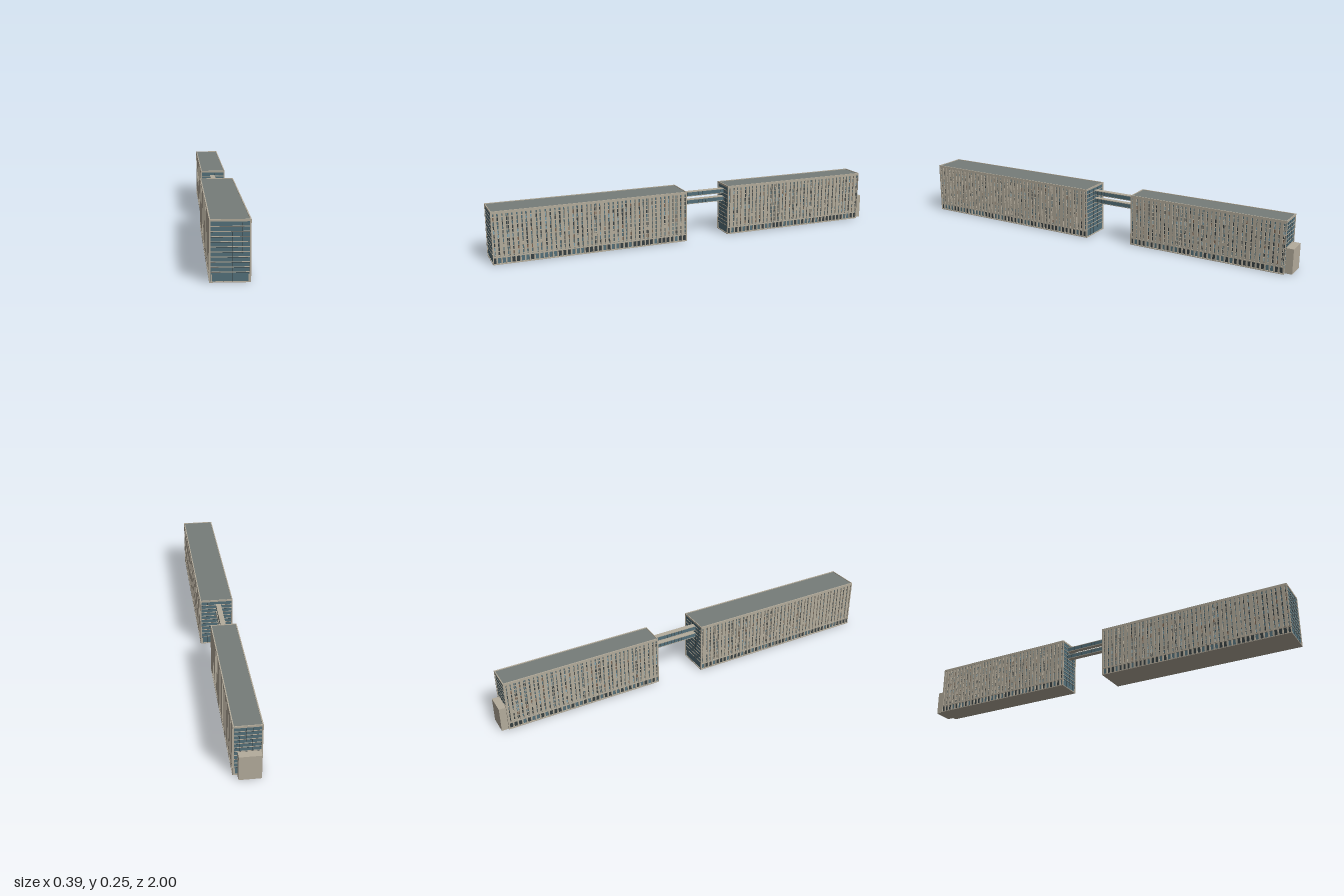
import * as THREE from 'three';
import { mergeGeometries } from 'three/addons/utils/BufferGeometryUtils.js';

const mat = (name, color) => {
  const m = new THREE.MeshStandardMaterial({ color });
  m.name = name;
  return m;
};

// box geometry given by its size and centre
const box = (w, h, d, x, y, z) => new THREE.BoxGeometry(w, h, d).translate(x, y, z);

function part(parent, name, geos, material) {
  const mesh = new THREE.Mesh(geos.length > 1 ? mergeGeometries(geos) : geos[0], material);
  mesh.name = name;
  parent.add(mesh);
  return mesh;
}

// small repeatable number generator
function seeded(seed) {
  let s = seed;
  return () => (s = (s * 16807) % 2147483647) / 2147483647;
}

const H = 0.252;        // building height
const STOREY = 0.0202;  // floor to floor
const FIRST = 0.042;    // top of the ground floor
const BAND = 0.24;      // underside of the top band
const SKIN = 0.006;     // depth of the facade panels

function building(name, W, L, bays, seed, M) {
  const g = new THREE.Group();
  g.name = name;
  const rnd = seeded(seed);
  const pitch = L / bays;

  // glazed core and base plate
  part(g, 'glassCore', [box(W - 2 * SKIN, H - 0.01, L - 0.006, 0, H / 2, 0)], M.glass);
  part(g, 'basePlate', [box(W, 0.004, L, 0, 0.002, 0)], M.stone);

  // floor edges, showing in the window slots and on the glazed ends
  const slabs = [], shadowLines = [];
  for (let i = 0; i < 10; i++) {
    const y = FIRST + i * STOREY;
    slabs.push(box(W - 0.007, 0.003, L - 0.003, 0, y, 0));
    shadowLines.push(box(W - 0.009, 0.0015, L - 0.004, 0, y - 0.002, 0));
  }
  part(g, 'floorEdges', slabs, M.stone);
  part(g, 'floorShadowGaps', shadowLines, M.dark);

  // long facades: stone panels between irregular window slots
  const panels = [], columns = [], panes = { blue: [], dark: [], blind: [] };
  for (const s of [-1, 1]) {
    const x = s * (W / 2 - SKIN / 2);
    const paneX = s * (W / 2 - SKIN + 0.0005);
    let start = -L / 2;
    for (let i = 0; i < bays; i++) {
      const r = rnd();
      const slot = r > 0.85 ? 0.012 : 0.005 + r * 0.004;
      const mid = -L / 2 + (i + 0.5 + (rnd() - 0.5) * 0.25) * pitch;
      const end = mid - slot / 2;
      panels.push(box(SKIN, BAND - 0.034, end - start, x, (BAND + 0.034) / 2, (start + end) / 2));
      start = mid + slot / 2;
      // some slots are closed by a panel low on the facade
      if (i % 4 === 1) panels.push(box(SKIN - 0.001, 0.014, slot, x, 0.09, mid));
      // slender middle post in the wide slots
      if (slot > 0.01) panels.push(box(SKIN - 0.002, BAND - 0.04, 0.002, x, 0.14, mid));
      // varied panes
      for (let f = 0; f < 10; f++) {
        const k = rnd();
        const key = k < 0.12 ? 'blue' : k < 0.42 ? 'dark' : k < 0.5 ? 'blind' : null;
        const y = FIRST + (f + 0.5) * STOREY;
        if (key && y < BAND - 0.008) panes[key].push(box(0.001, STOREY - 0.005, slot, paneX, y, mid));
      }
      // ground floor columns and shopfronts
      const z0 = -L / 2 + i * pitch;
      columns.push(box(SKIN, 0.032, pitch * 0.3, x, 0.018, z0 + pitch * 0.15));
      if (rnd() < 0.6) panes.dark.push(box(0.001, 0.028, pitch * 0.65, paneX, 0.019, z0 + pitch * 0.65));
    }
    panels.push(box(SKIN, BAND - 0.034, L / 2 - start, x, (BAND + 0.034) / 2, (start + L / 2) / 2));
    // continuous lintel above the ground floor
    panels.push(box(SKIN, 0.005, L, x, 0.0345, 0));
    columns.push(box(SKIN, 0.034, 0.004, x, 0.017, L / 2 - 0.002));
  }
  part(g, 'facadePanels', panels, M.stone);
  part(g, 'groundColumns', columns, M.stone);
  part(g, 'bluePanes', panes.blue, M.blue);
  part(g, 'darkPanes', panes.dark, M.dark);
  part(g, 'blindPanes', panes.blind, M.blind);

  // glazed ends: mullions and ground floor piers
  const mullions = [], piers = [];
  for (const s of [-1, 1]) {
    for (const t of [-0.16, 0.06, 0.28]) {
      mullions.push(box(0.001, BAND - 0.004, 0.002, t * W, BAND / 2, s * (L / 2 - 0.0025)));
    }
    for (const t of [-1, 1]) {
      piers.push(box(0.003, 0.03, 0.004, t * (W / 2 - 0.009), 0.018, s * (L / 2 - 0.003)));
    }
  }
  part(g, 'endMullions', mullions, M.dark);
  part(g, 'endPiers', piers, M.stone);

  // parapet and recessed roof
  const ph = H - BAND, py = (H + BAND) / 2, t = 0.004;
  const parapet = [];
  for (const s of [-1, 1]) {
    parapet.push(box(SKIN - 0.001, ph, L, s * (W / 2 - (SKIN - 0.001) / 2), py, 0));
    parapet.push(box(W - 0.01, ph - 0.003, t, 0, py + 0.0015, s * (L / 2 - t / 2)));
  }
  part(g, 'parapet', parapet, M.stone);
  part(g, 'roof', [box(W - 0.009, 0.004, L - 0.007, 0, H - 0.005, 0)], M.roof);
  return g;
}

// glazed footbridge with stone floor and roof
function bridge(name, y, h, z0, z1, M) {
  const g = new THREE.Group();
  g.name = name;
  const len = z1 - z0, zc = (z0 + z1) / 2, w = 0.025;
  part(g, 'bridgeGlass', [box(w - 0.002, h - 0.002, len, 0, y, zc)], M.glass);
  part(g, 'bridgeDecks', [-1, 1].map(s => box(w, 0.003, len, 0, y + s * (h / 2 - 0.0015), zc)), M.stone);
  const posts = [];
  for (let i = 1; i < 12; i++) posts.push(box(w - 0.001, h - 0.004, 0.001, 0, y, z0 + (len * i) / 12));
  part(g, 'bridgePosts', posts, M.dark);
  g.position.x = 0.005;
  return g;
}

export function createModel() {
  const M = {
    stone: mat('stone', 0xb4ac9c),
    glass: mat('glass', 0x54707a),
    roof: mat('roofGrey', 0x767d79),
    dark: mat('darkGlass', 0x353f42),
    blue: mat('blueGlass', 0x7d9fac),
    blind: mat('brownBlind', 0x7d6654),
  };
  const model = new THREE.Group();
  model.name = 'twinSlabBuildings';

  // both blocks stand on one slightly turned axis
  const axis = new THREE.Group();
  axis.name = 'blocks';
  axis.rotation.y = -0.127;
  model.add(axis);

  const front = building('frontBlock', 0.164, 0.952, 44, 71, M);
  front.position.set(0.0143, 0, 0.52);
  const back = building('backBlock', 0.125, 0.779, 36, 1337, M);
  back.position.set(0.008, 0, -0.58);
  axis.add(front, back);

  axis.add(bridge('upperBridge', 0.217, 0.024, -0.192, 0.046, M));
  axis.add(bridge('lowerBridge', 0.177, 0.024, -0.192, 0.046, M));

  // solid annex at the far end
  part(axis, 'annex', [box(0.097, 0.12, 0.036, 0.001, 0.06, -0.984)], M.stone);
  return model;
}
